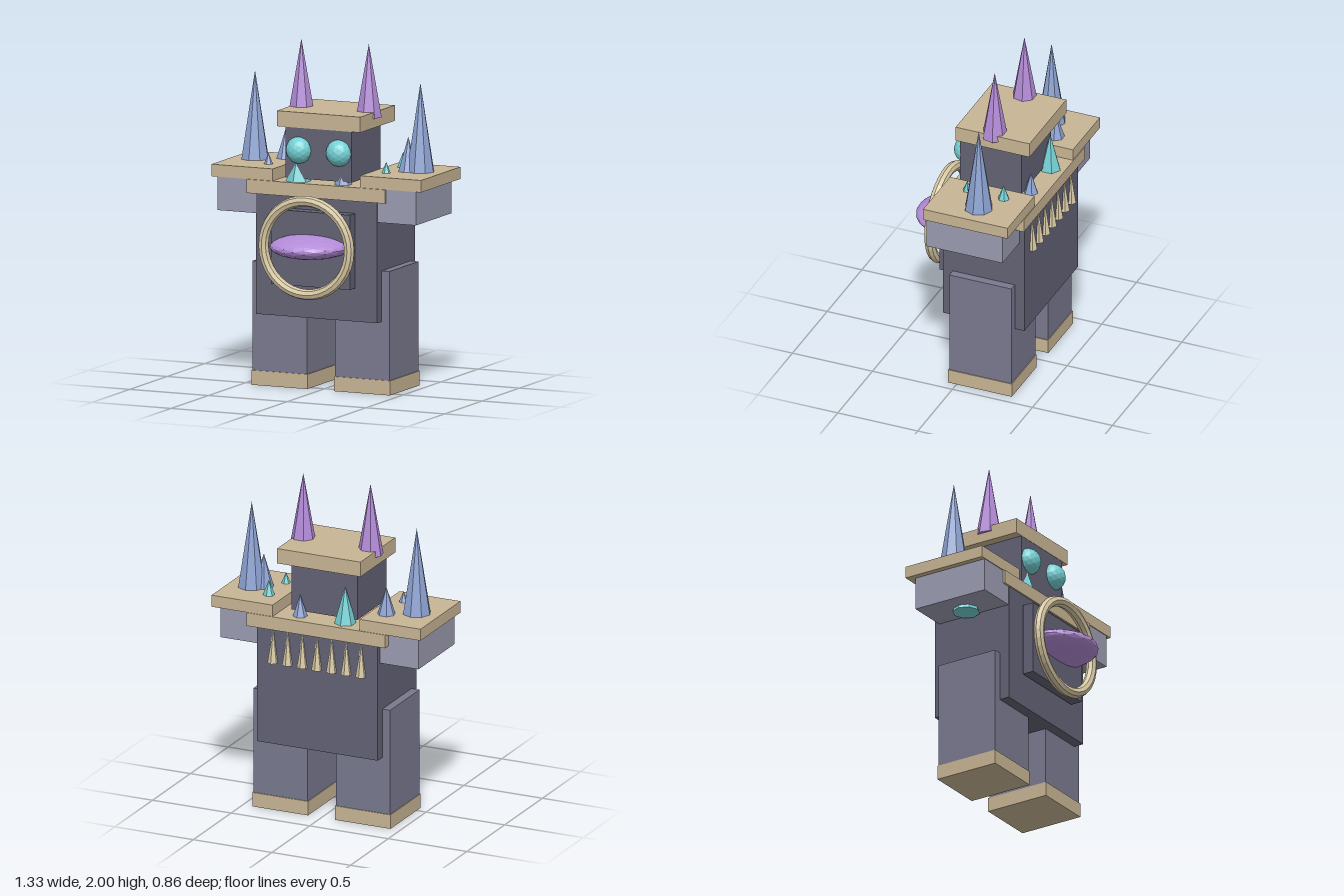
import * as THREE from 'three';

const mat = (color) => new THREE.MeshStandardMaterial({ color, flatShading: true });

export function createModel() {
  const group = new THREE.Group();
  const darkStone = mat(0x626275), stone = mat(0x79798f), paleStone = mat(0x9a9bb0);
  const sand = mat(0xc8b594), bone = mat(0xd8c9a4);
  const purple = mat(0xb48cd8), blue = mat(0x8fa4d4), teal = mat(0x74d0d4);

  const add = (name, geometry, material, x = 0, y = 0, z = 0) => {
    const mesh = new THREE.Mesh(geometry, material);
    mesh.name = name;
    mesh.position.set(x, y, z);
    group.add(mesh);
    return mesh;
  };
  // box given by its limits on each axis
  const block = (name, material, [x0, x1], [y0, y1], [z0, z1]) =>
    add(name, new THREE.BoxGeometry(x1 - x0, y1 - y0, z1 - z0), material,
      (x0 + x1) / 2, (y0 + y1) / 2, (z0 + z1) / 2);
  // upright crystal spike from base height to tip height
  const spike = (name, material, x, z, radius, base, tip, sides = 6) =>
    add(name, new THREE.ConeGeometry(radius, tip - base, sides), material, x, (base + tip) / 2, z);

  // body and head
  block('torso', darkStone, [-0.385, 0.385], [0.425, 1.125], [-0.4, 0.11]);
  block('collar', sand, [-0.44, 0.44], [1.125, 1.205], [-0.42, 0.12]);
  block('head', darkStone, [-0.21, 0.21], [1.225, 1.52], [-0.307, 0.08]);
  block('headCap', sand, [-0.265, 0.265], [1.52, 1.61], [-0.38, 0.082]);

  // mirrored limbs, eyes and horns
  for (const s of [-1, 1]) {
    const side = s > 0 ? 'left' : 'right';
    const span = (a, b) => (s > 0 ? [a, b] : [-b, -a]);
    block(side + 'Leg', stone, span(0.09, 0.435), [0.085, 0.72], [-0.34, 0.048]);
    block(side + 'Foot', sand, span(0.085, 0.44), [0, 0.085], [-0.345, 0.053]);
    block(side + 'Arm', paleStone, span(0.312, 0.63), [1.01, 1.205], [-0.37, 0.107]);
    block(side + 'ShoulderSlab', sand, span(0.277, 0.665), [1.205, 1.275], [-0.416, 0.112]);
    add(side + 'Eye', new THREE.IcosahedronGeometry(0.08, 2), teal, s * 0.127, 1.39, 0.066);
    spike(side + 'Horn', purple, s * 0.214, -0.14, 0.076, 1.575, 2, 7);
    spike(side + 'ShoulderSpire', blue, s * 0.525, -0.175, 0.084, 1.27, 1.79, 8);
  }

  // small crystals on the shoulders
  spike('shoulderCrystal', blue, -0.375, -0.265, 0.054, 1.27, 1.44, 7);
  spike('shoulderCrystal', blue, -0.375, -0.038, 0.028, 1.27, 1.34);
  spike('shoulderCrystal', blue, 0.46, -0.15, 0.06, 1.27, 1.475, 7);
  spike('shoulderCrystal', teal, 0.373, -0.265, 0.036, 1.27, 1.365);
  spike('shoulderCrystal', teal, 0.373, -0.038, 0.028, 1.27, 1.34);
  spike('armCrystal', teal, -0.465, -0.13, 0.08, 0.99, 1.21, 8);

  // crystals around the neck
  spike('neckCrystal', teal, -0.145, 0.045, 0.074, 1.2, 1.41);
  spike('neckCrystal', blue, 0.14, 0.045, 0.053, 1.2, 1.36);
  spike('neckCrystal', teal, -0.145, -0.332, 0.064, 1.2, 1.43);
  spike('neckCrystal', blue, 0.14, -0.335, 0.044, 1.2, 1.335);

  // chest plate, gem and ring
  block('chestPlate', darkStone, [-0.25, 0.25], [0.62, 1.055], [0.118, 0.188]);
  add('chestGem', new THREE.IcosahedronGeometry(0.235, 3), purple, 0, 0.855, 0.19).scale.y = 0.29;
  add('chestRing', new THREE.TorusGeometry(0.272, 0.031, 8, 36), bone, 0, 0.855, 0.243);

  // row of spikes down the back
  for (let i = -3; i <= 3; i++) spike('backSpike', bone, i * 0.0933, -0.402, 0.033, 0.92, 1.125);

  return group;
}
